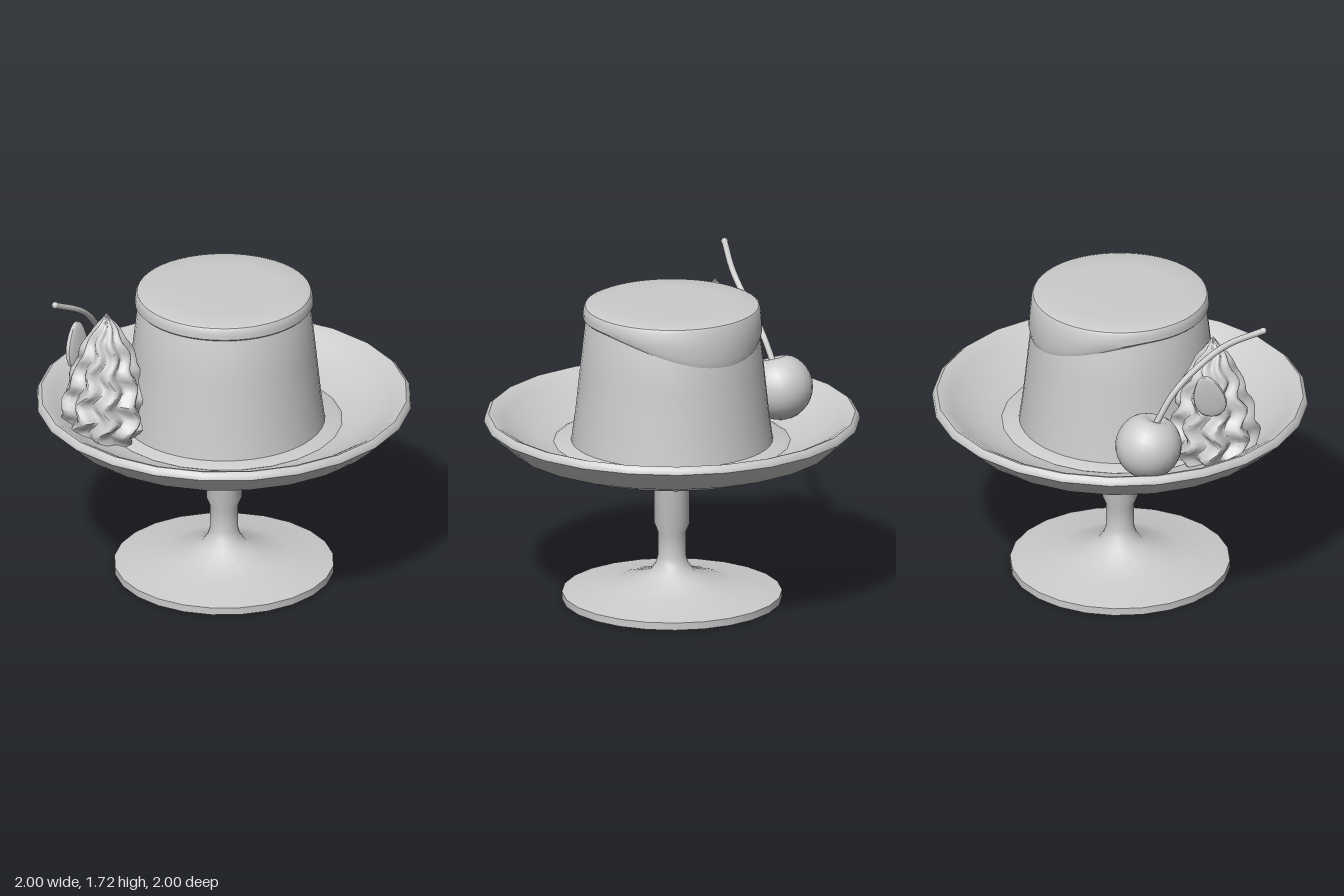
import * as THREE from 'three';
import { toCreasedNormals } from 'three/addons/utils/BufferGeometryUtils.js';

const material = new THREE.MeshStandardMaterial({ color: 0xcccccc });

function part(name, geometry, crease = 0.7) {
  const mesh = new THREE.Mesh(crease ? toCreasedNormals(geometry, crease) : geometry, material);
  mesh.name = name;
  return mesh;
}

// Turned shape from [radius, y] pairs, listed so the outside is the front
const turned = (pairs, sides = 24) =>
  new THREE.LatheGeometry(pairs.map(([r, y]) => new THREE.Vector2(r, y)), sides);

// Moves every vertex of a geometry by a rule
function reshape(geometry, rule) {
  const pos = geometry.attributes.position;
  const v = new THREE.Vector3();
  for (let i = 0; i < pos.count; i++) {
    rule(v.fromBufferAttribute(pos, i));
    pos.setXYZ(i, v.x, v.y, v.z);
  }
  geometry.computeVertexNormals();
  return geometry;
}

// Footed dish: hollow foot, stem, outer bowl, rim, inner bowl
function dish() {
  return part('footedDish', turned([
    [0, 0.18], [0.06, 0.17], [0.1, 0.12], [0.33, 0.055], [0.565, 0], [0.585, 0],
    [0.585, 0.04], [0.52, 0.052], [0.34, 0.08], [0.12, 0.15], [0.085, 0.2], [0.075, 0.24],
    [0.075, 0.37], [0.095, 0.42], [0.095, 0.64], [0.105, 0.67], [0.13, 0.685],
    [0.22, 0.695], [0.46, 0.735], [0.72, 0.815], [0.87, 0.87], [0.95, 0.94],
    [1, 0.99], [0.995, 1.015], [0.975, 1.03], [0.95, 1.022],
    [0.9, 0.99], [0.82, 0.935], [0.72, 0.897], [0.6, 0.865], [0, 0.85],
  ]), 0.9);
}

// Caramel cap whose lower edge runs down the back of the pudding
function caramelCap() {
  const geometry = turned([
    [0.45, 1.56], [0.465, 1.558], [0.474, 1.567], [0.473, 1.59], [0.47, 1.615],
    [0.462, 1.629], [0.44, 1.637], [0.3, 1.638], [0, 1.635],
  ], 48);
  return part('caramelCap', reshape(geometry, (v) => {
    if (v.y > 1.614) return;
    const angle = THREE.MathUtils.euclideanModulo(THREE.MathUtils.radToDeg(Math.atan2(v.x, v.z)), 360);
    const d = Math.min(1, Math.abs(angle - 172) / 95);
    const fall = 0.15 * (0.5 + 0.5 * Math.cos(Math.PI * d)) * (1.615 - v.y) / 0.055;
    const grow = 1 + 0.1 * fall / Math.hypot(v.x, v.z);
    v.set(v.x * grow, v.y - fall, v.z * grow);
  }));
}

// Piped cream: fluted cone with ridges that wander from side to side
function cream() {
  const outline = new THREE.CatmullRomCurve3([
    [0.17, 0.86], [0.215, 0.95], [0.215, 1.06], [0.19, 1.18], [0.15, 1.3],
    [0.11, 1.41], [0.06, 1.5], [0.025, 1.55], [0, 1.59],
  ].map(([r, y]) => new THREE.Vector3(r, y, 0)));
  const pairs = outline.getPoints(32).map((p) => [Math.max(0, p.x), p.y]);
  const mesh = part('whippedCream', reshape(turned(pairs, 72), (v) => {
    const r = Math.hypot(v.x, v.z);
    const a = Math.atan2(v.x, v.z);
    const flute = 1 + 0.13 * Math.cos(9 * a) + 0.04 * Math.sin(v.y * 45 + 2 * a);
    const twist = a + 0.14 * Math.sin(v.y * 38) + 0.8 * (v.y - 0.9);
    v.x = r * flute * Math.sin(twist);
    v.z = r * flute * Math.cos(twist);
  }), 0.9);
  mesh.position.set(-0.6, 0, 0.25);
  return mesh;
}

// Cherry with a dimple on top and a curved stalk
function cherry() {
  const group = new THREE.Group();
  group.name = 'cherry';
  const fruit = part('cherryFruit', reshape(new THREE.SphereGeometry(0.177, 24, 16), (v) => {
    const r = Math.hypot(v.x, v.z);
    if (v.y > 0) v.y -= 0.04 * Math.exp(-((r / 0.05) ** 2));
  }), 1);
  fruit.position.set(-0.66, 1.06, -0.165);
  fruit.rotation.x = 0.3;

  const path = new THREE.CatmullRomCurve3([
    [-0.66, 1.18, -0.12], [-0.668, 1.33, -0.03], [-0.685, 1.45, 0.08],
    [-0.74, 1.595, 0.25], [-0.855, 1.7, 0.42],
  ].map((p) => new THREE.Vector3(...p)));
  const stalk = part('cherryStalk', new THREE.TubeGeometry(path, 16, 0.017, 8), 0);
  const tip = part('stalkTip', new THREE.SphereGeometry(0.019, 10, 8), 0);
  tip.position.copy(path.getPoint(1));
  group.add(fruit, stalk, tip);
  return group;
}

// Flat nut slice leaning on the cream
function nutSlice() {
  const mesh = part('nutSlice', reshape(new THREE.SphereGeometry(1, 20, 14), (v) => {
    const taper = 1 - 0.25 * v.y;
    v.set(v.x * taper * 0.085, v.y * 0.13, Math.sign(v.z) * Math.sqrt(Math.abs(v.z)) * 0.02);
  }), 0.8);
  mesh.position.set(-0.77, 1.335, 0.14);
  mesh.rotation.set(0.15, THREE.MathUtils.degToRad(240), 0.2, 'YXZ');
  return mesh;
}

export function createModel() {
  const model = new THREE.Group();
  model.name = 'puddingDessert';

  // Sauce pool in the bottom of the bowl
  const sauce = part('saucePool', turned([[0.61, 0.86], [0.63, 0.875], [0.61, 0.885], [0, 0.885]]));

  // Tapered pudding
  const pudding = part('pudding', turned([
    [0, 0.86], [0.52, 0.86], [0.537, 0.88], [0.515, 1.04], [0.488, 1.3], [0.458, 1.57], [0.44, 1.62], [0, 1.62],
  ], 48));

  model.add(dish(), sauce, pudding, caramelCap(), cream(), cherry(), nutSlice());
  return model;
}
